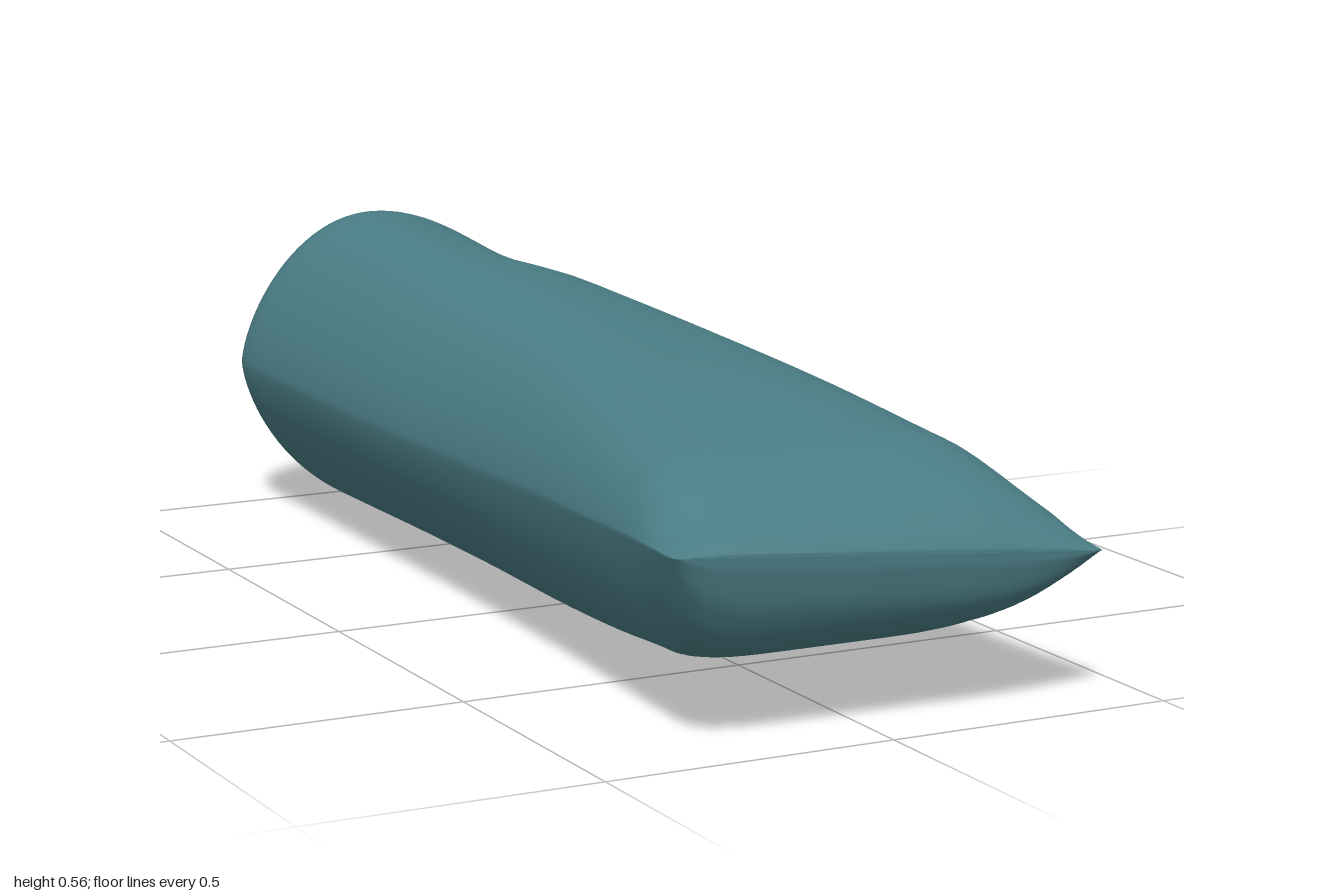
import * as THREE from 'three';

// Cross-sections from the dished round end to the crimped flat end:
// z, right edge, left edge, top, bottom, widest height, tilt, flatness (0 round, 1 lens)
const SECTIONS = [
  [-0.958, 0.00, 0.00, 0.285, 0.285, 0.285, 0, 0],
  [-0.966, -0.195, 0.18, 0.47, 0.095, 0.285, 0, 0],
  [-0.987, -0.225, 0.21, 0.50, 0.065, 0.285, 0, 0],
  [-0.998, -0.245, 0.225, 0.525, 0.045, 0.285, 0, 0],
  [-0.983, -0.270, 0.252, 0.548, 0.02, 0.285, 0, 0],
  [-0.92, -0.290, 0.272, 0.559, 0.002, 0.285, 0, 0],
  [-0.75, -0.294, 0.277, 0.554, 0.003, 0.285, 0, 0.01],
  [-0.40, -0.302, 0.287, 0.540, 0.012, 0.285, 0, 0.04],
  [0.00, -0.31, 0.308, 0.517, 0.024, 0.285, -0.02, 0.14],
  [0.40, -0.33, 0.332, 0.483, 0.055, 0.29, -0.05, 0.45],
  [0.68, -0.352, 0.354, 0.445, 0.090, 0.292, -0.07, 0.8],
  [0.79, -0.362, 0.364, 0.424, 0.106, 0.293, -0.08, 1],
  [0.92, -0.380, 0.378, 0.366, 0.145, 0.294, -0.09, 1],
  [0.975, -0.384, 0.384, 0.328, 0.200, 0.294, -0.09, 1],
  [0.995, -0.380, 0.379, 0.304, 0.262, 0.294, -0.09, 1],
  [0.998, -0.368, 0.367, 0.294, 0.294, 0.294, -0.09, 1],
];
// Roundness of each quarter: base power, base exponent, extra power when flat
const QUARTERS = {
  topLeft: [2, 0.52, 2],
  topRight: [2, 0.68, 5],
  bottomRight: [1.9, 0.65, 6],
  bottomLeft: [1.65, 0.68, 2.4],
};
const SIDES = 96;
const STEPS = 6;
const DISH_ROWS = 2 * STEPS;

const bump = (d, width) => Math.exp(-((d / width) ** 2));

// One point of a section; the exponents morph a round into a pointed lens
function sectionPoint([z, xr, xl, top, bottom, mid, tilt, flat], angle) {
  const u = Math.cos(angle);
  const v = Math.sin(angle);
  const [power, exponent, extra] = QUARTERS[(v > 0 ? 'top' : 'bottom') + (u > 0 ? 'Left' : 'Right')];
  const rise = Math.max(0, 1 - Math.abs(u) ** (power + flat * extra)) ** THREE.MathUtils.lerp(exponent, 0.9, flat);
  const x = (xl + xr) / 2 + (u * (xl - xr)) / 2;
  // Only the seam tilts; the top and bottom stay level until the section closes
  const closed = THREE.MathUtils.clamp((z - 0.92) / 0.078, 0, 1);
  const seam = mid + tilt * x;
  const level = (v > 0 ? top : bottom) + closed * tilt * x;
  const y = seam + rise * (level - seam);
  // Stepped hollow on the upper left, fading out before the rim
  const hollow = 0.022 * bump(z + 0.5, z > -0.5 ? 0.09 : 0.28) * bump(angle - 1.0, 0.35);
  return [x - u * hollow, y - v * hollow, z];
}

function loft() {
  const size = SECTIONS[0].length;
  const spline = new THREE.CubicInterpolant(
    SECTIONS.map((_, i) => i), SECTIONS.flat(), size, new Array(size).fill(0));
  const rows = (SECTIONS.length - 1) * STEPS;
  const positions = [];
  const index = [];
  for (let i = 0; i <= rows; i++) {
    const section = i % STEPS === 0 ? SECTIONS[i / STEPS] : Array.from(spline.evaluate(i / STEPS));
    for (let j = 0; j < SIDES; j++) {
      positions.push(...sectionPoint(section, (j / SIDES) * Math.PI * 2));
      if (i === rows) continue;
      const a = i * SIDES + j;
      const b = i * SIDES + ((j + 1) % SIDES);
      index.push(a, b, a + SIDES, b, b + SIDES, a + SIDES);
    }
  }
  const geometry = new THREE.BufferGeometry();
  geometry.setAttribute('position', new THREE.Float32BufferAttribute(positions, 3));
  geometry.setIndex(index);
  geometry.computeVertexNormals();
  // The dished end has its own darker colour
  const dishCount = DISH_ROWS * SIDES * 6;
  geometry.addGroup(0, dishCount, 0);
  geometry.addGroup(dishCount, index.length - dishCount, 1);
  return geometry;
}

export function createModel() {
  const group = new THREE.Group();
  group.name = 'squeezeTube';
  // Tube body: dished base, round barrel and crimped end in one skin
  const body = new THREE.Mesh(loft(), [
    new THREE.MeshStandardMaterial({ color: 0x14292c }),
    new THREE.MeshStandardMaterial({ color: 0x4a7c84 }),
  ]);
  body.name = 'tubeBody';
  group.add(body);
  return group;
}
